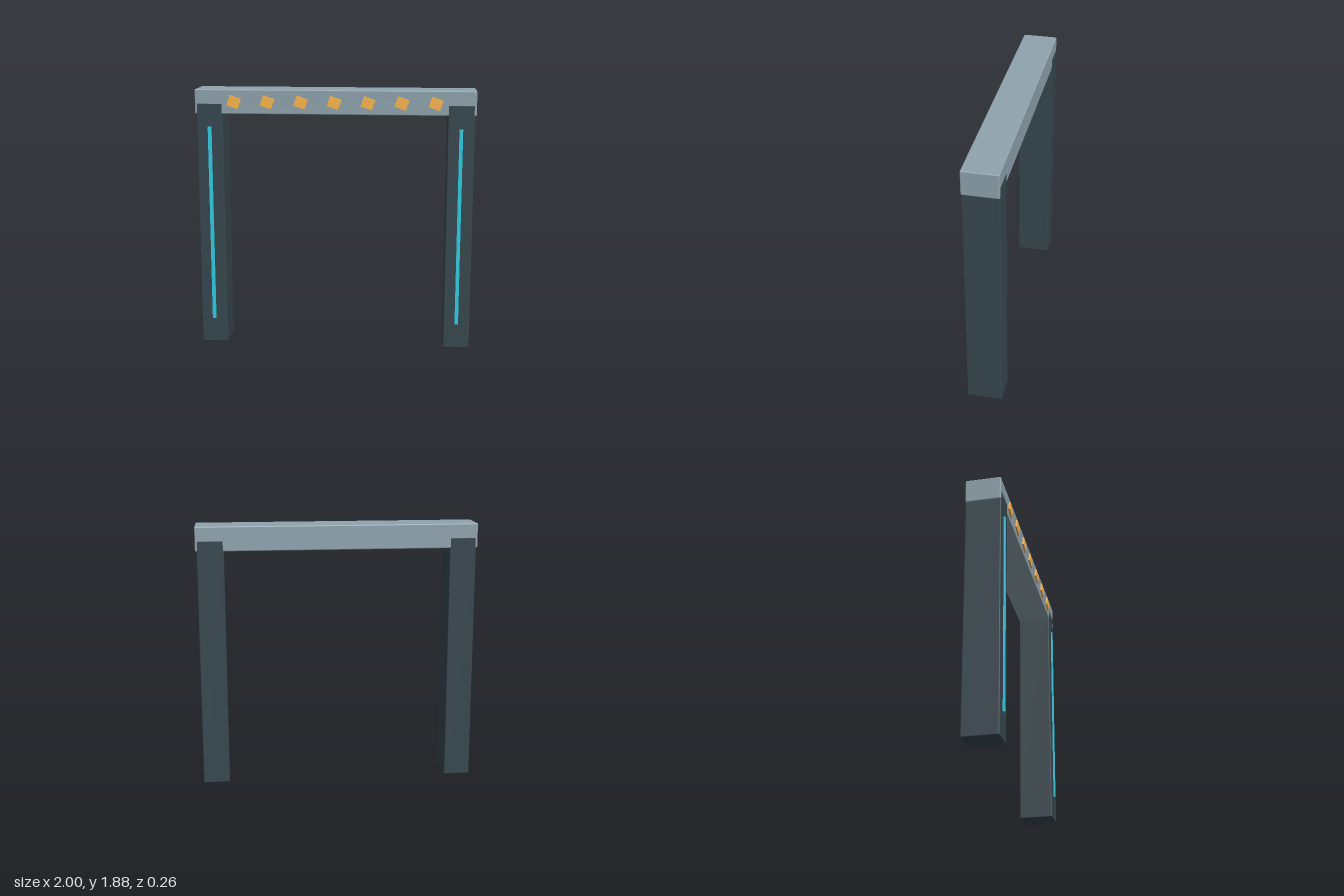
import * as THREE from 'three';
import { RoundedBoxGeometry } from 'three/addons/geometries/RoundedBoxGeometry.js';

const paint = (color) => new THREE.MeshStandardMaterial({ color });
const steel = paint(0x90a4ae);
const darkSteel = paint(0x37474f);
const amber = paint(0xffb74d);
const cyan = paint(0x2fd0e6);

const BODY_Z = -0.006; // centre of the frame; lights stand proud of its front
const LIGHT_Z = 0.124;

function addPart(group, name, geometry, material, x, y, z) {
  const mesh = new THREE.Mesh(geometry, material);
  mesh.name = name;
  mesh.position.set(x, y, z);
  group.add(mesh);
  return mesh;
}

export function createModel() {
  const gate = new THREE.Group();
  gate.name = 'gate';

  // Crossbeam
  addPart(gate, 'crossbeam', new RoundedBoxGeometry(2, 0.175, 0.25, 2, 0.008), steel, 0, 1.795, BODY_Z);

  // Posts, reaching up into the beam, each with a vertical light strip
  const post = new RoundedBoxGeometry(0.19, 1.785, 0.251, 2, 0.008);
  const strip = new THREE.BoxGeometry(0.026, 1.43, 0.014);
  for (const [side, s] of [['left', 1], ['right', -1]]) {
    addPart(gate, side + 'Post', post, darkSteel, s * 0.895, 0.8925, BODY_Z);
    addPart(gate, side + 'LightStrip', strip, cyan, s * 0.895, 0.9, LIGHT_Z);
  }

  // Row of tilted marker plates along the beam
  const plate = new THREE.BoxGeometry(0.085, 0.075, 0.014);
  for (let i = 0; i < 7; i++) {
    const marker = addPart(gate, 'markerPlate' + (i + 1), plate, amber, (i - 3) * 0.2385, 1.793, LIGHT_Z);
    marker.rotation.z = -0.33;
  }

  return gate;
}
